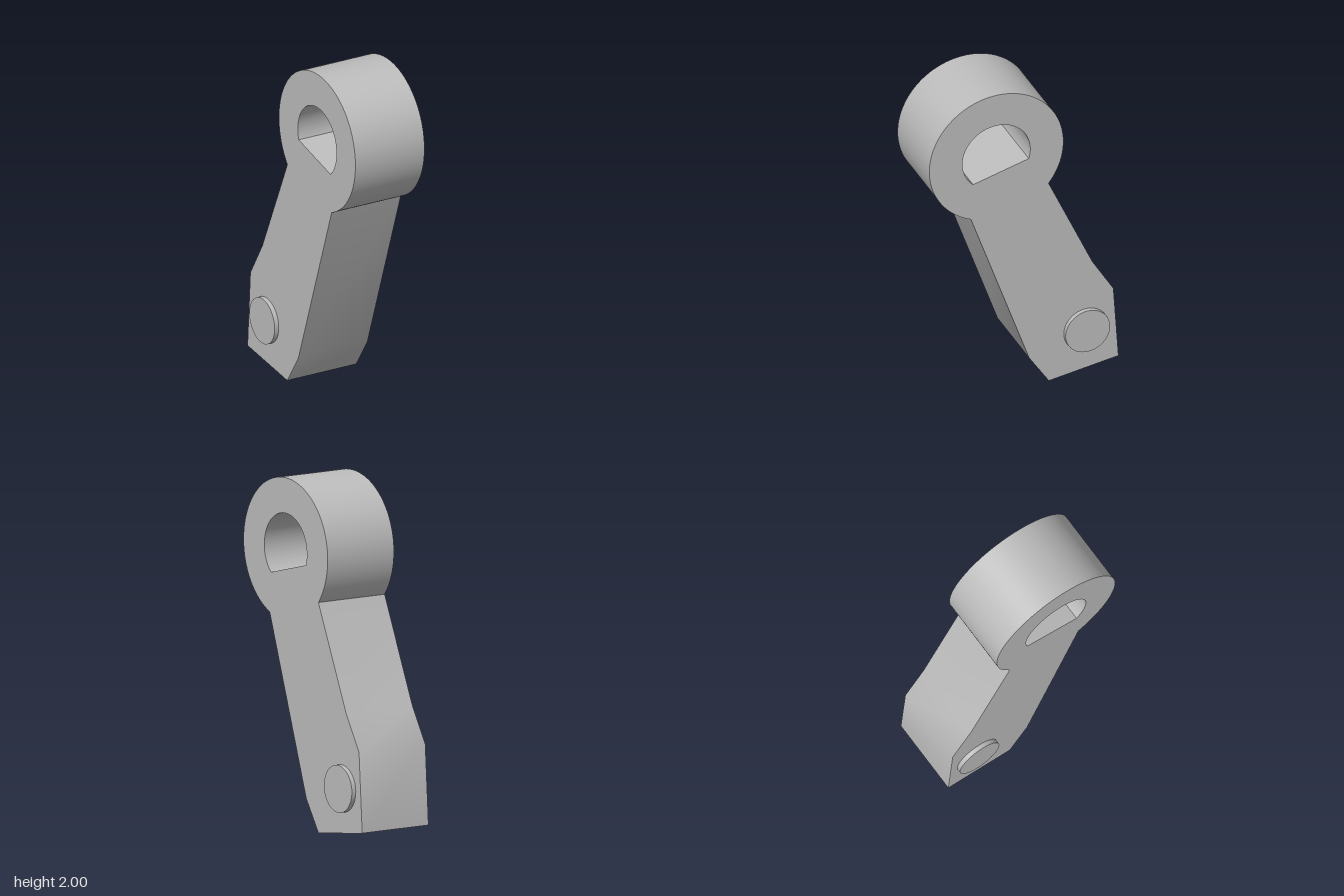
import * as THREE from 'three';
import { toCreasedNormals } from 'three/addons/utils/BufferGeometryUtils.js';

const WIDTH = 0.46;
const RING = { z: 0.172, y: 1.587, radius: 0.413, bore: 0.209 };
const rad = THREE.MathUtils.degToRad;

export function createModel() {
  const group = new THREE.Group();
  group.name = 'leverArm';

  const metal = new THREE.MeshStandardMaterial({ color: 0xbcbcbc });
  metal.name = 'grey metal';

  // Side profile drawn as (z, y): round head, then down the back and up the front of the arm
  const profile = new THREE.Shape();
  profile.absarc(RING.z, RING.y, RING.radius, rad(-67.7), rad(218.8), false);
  const armPoints = [
    [-0.42, 0.733], [-0.549, 0.522], [-0.58, 0.062],
    [-0.151, 0], [-0.03, 0.183],
  ];
  armPoints.forEach(([z, y]) => profile.lineTo(z, y));
  profile.closePath();

  // D-shaped bore with a slanted flat
  const bore = new THREE.Path();
  bore.absarc(RING.z, RING.y, RING.bore, rad(-46.6), rad(197.3), false);
  bore.closePath();
  profile.holes.push(bore);

  const bodyGeometry = new THREE.ExtrudeGeometry(profile, {
    depth: WIDTH, bevelEnabled: false, curveSegments: 64,
  });
  bodyGeometry.translate(0, 0, -WIDTH / 2);
  bodyGeometry.rotateY(-Math.PI / 2);
  const body = new THREE.Mesh(toCreasedNormals(bodyGeometry, rad(40)), metal);
  body.name = 'armWithRing';
  group.add(body);

  // Pivot pin heads, standing slightly proud of both sides
  for (const side of [-1, 1]) {
    const pin = new THREE.Mesh(new THREE.CylinderGeometry(0.137, 0.137, 0.047, 48), metal);
    pin.name = side > 0 ? 'leftPin' : 'rightPin';
    pin.rotation.z = Math.PI / 2;
    pin.position.set(side * 0.2335, 0.291, -0.38);
    group.add(pin);
  }

  return group;
}
